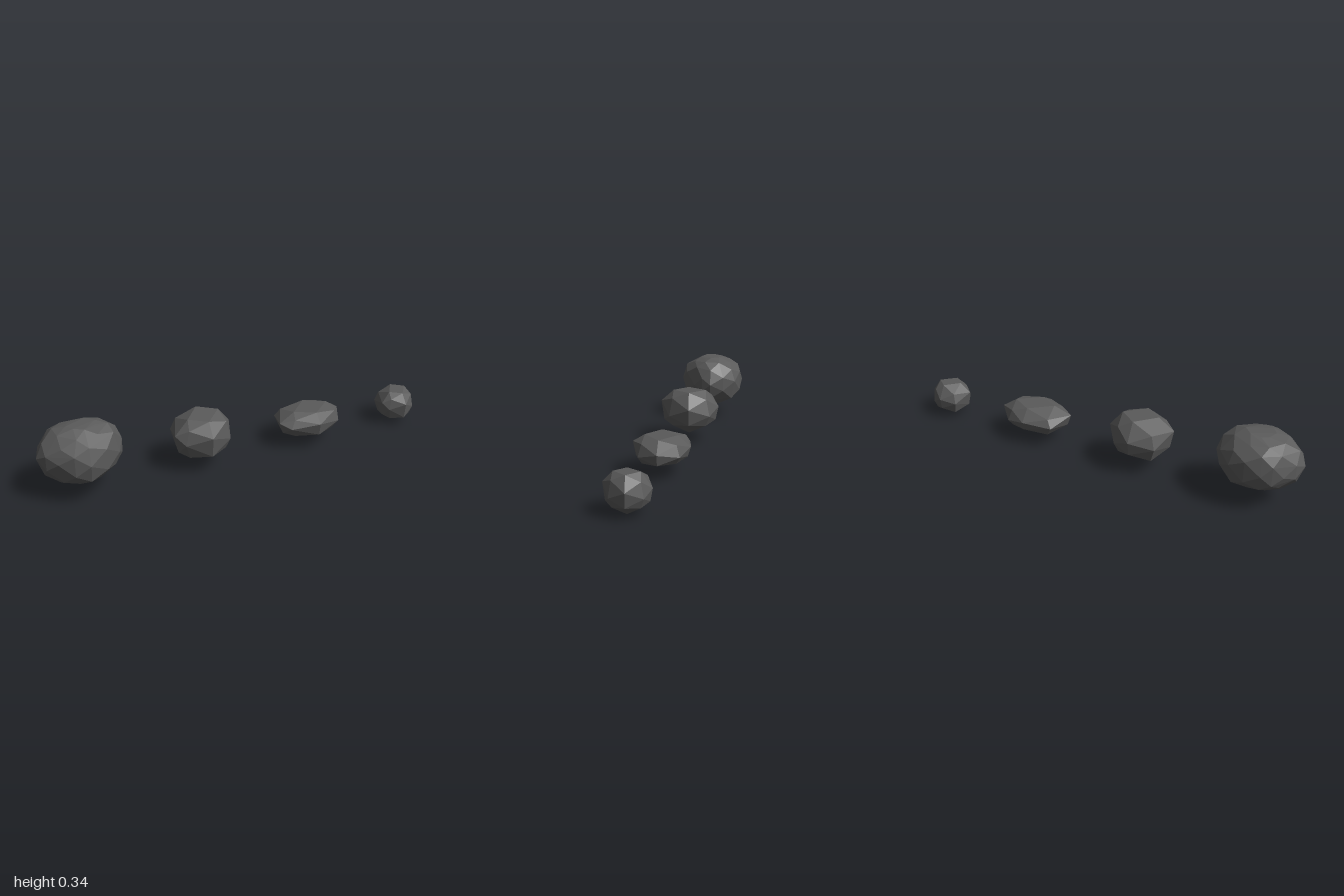
import * as THREE from 'three';
import { ConvexGeometry } from 'three/addons/geometries/ConvexGeometry.js';

const material = new THREE.MeshStandardMaterial({ color: 0x5a5a5a, flatShading: true, roughness: 1 });

// Plan outlines in a unit square, from the left end round the back
const stoneOutline = [[0, 0.63], [0.11, 0.12], [0.5, 0], [0.78, 0.1], [1, 0.41], [0.87, 0.77], [0.48, 1], [0.12, 0.8]];
const boulderOutline = [[0, 0.5], [0.15, 0.15], [0.37, 0], [0.75, 0.05], [1, 0.41], [0.9, 0.7], [0.5, 1], [0.18, 0.82]];

// Layers as [height, width], both as fractions of the whole stone
const stoneLayers = [[0, 0], [0.22, 0.82], [0.29, 0.9], [0.48, 1], [0.65, 1], [0.81, 0.84], [0.96, 0.56]];
const boulderLayers = Array.from({ length: 9 }, (_, j) => {
  const t = 0.5 - 0.5 * Math.cos((Math.PI * (j + 1)) / 10);
  return [t, Math.sqrt(1 - Math.abs(2 * t - 1) ** 2.5)];
});

// The boulder has twice as many corners, rounded between the main ones
const toVector = ([x, z]) => new THREE.Vector3(x, 0, z);
const stoneRing = stoneOutline.map(toVector);
const boulderRing = new THREE.CatmullRomCurve3(boulderOutline.map(toVector), true).getPoints(16).slice(0, -1);

// Faceted hull around alternating corners of each layer
function makeRock(name, ring, layers, [width, height, depth], [x, y, z]) {
  const pivot = new THREE.Vector3(0.54, 0, 0.5);
  const points = [];
  layers.forEach(([level, scale], j) => {
    ring.forEach((corner, i) => {
      if (i % 2 !== j % 2) return;
      const p = corner.clone().sub(pivot).multiplyScalar(scale).add(pivot);
      const wobble = 0.035 * scale * Math.sin(i * 2.3 + j * 1.7);
      points.push(new THREE.Vector3((p.x - 0.5) * width, (level + wobble) * height, (p.z - 0.5) * depth));
    });
  });
  const rock = new THREE.Mesh(new ConvexGeometry(points), material);
  rock.name = name;
  rock.position.set(x, y, z);
  return rock;
}

export function createModel() {
  const group = new THREE.Group();
  group.name = 'rocks';
  group.add(
    makeRock('largeBoulder', boulderRing, boulderLayers, [0.4, 0.275, 0.335], [-0.8, 0.067, -0.003]),
    makeRock('mediumBoulder', stoneRing, stoneLayers, [0.305, 0.23, 0.298], [-0.212, 0.04, -0.004]),
    makeRock('flatStone', stoneRing, stoneLayers, [0.362, 0.145, 0.268], [0.371, 0.04, -0.004]),
    makeRock('smallStone', stoneRing, stoneLayers, [0.2, 0.18, 0.205], [0.9, 0, -0.003]),
  );
  return group;
}
